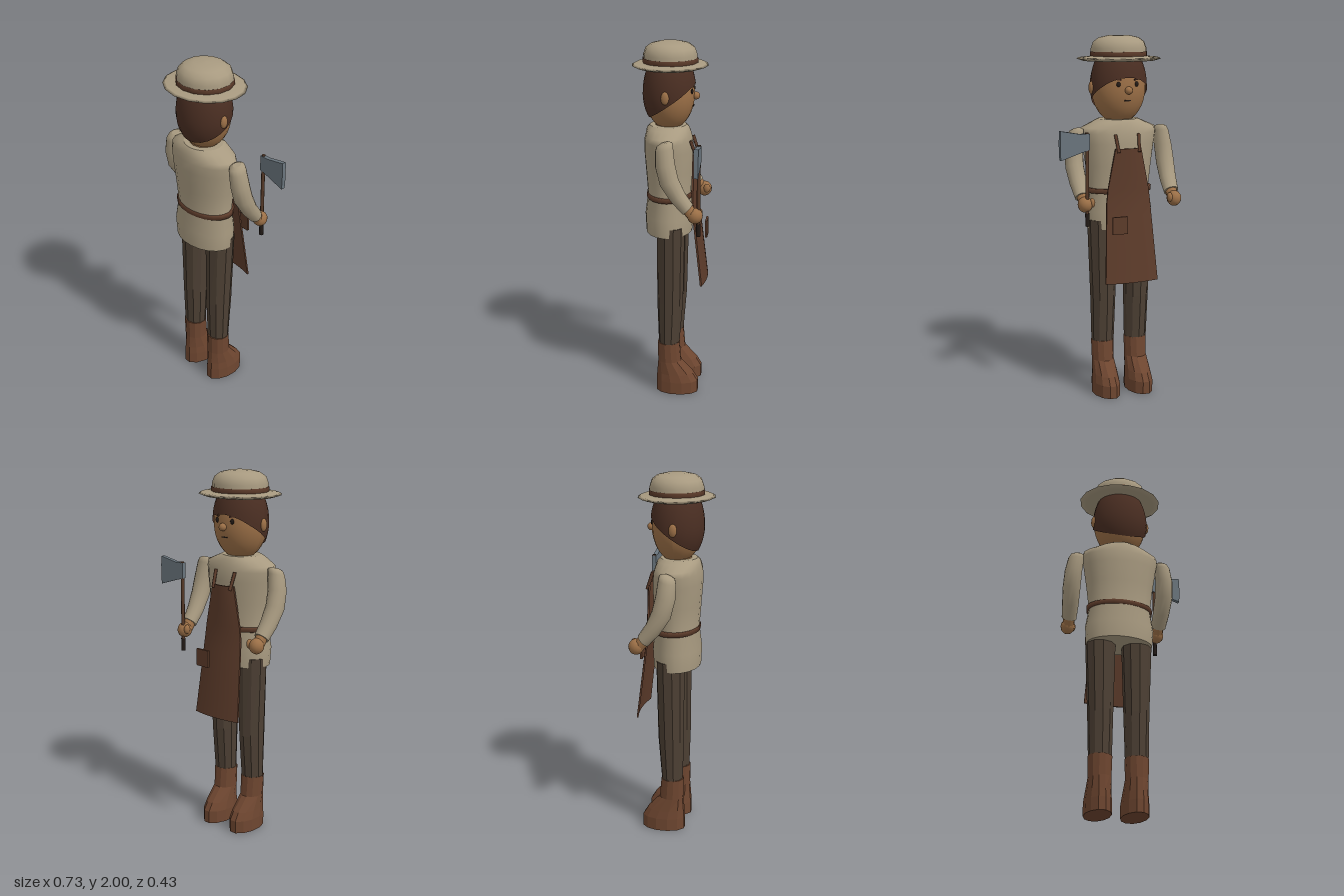
import * as THREE from 'three';

const material = (color, extra = {}) => new THREE.MeshStandardMaterial({ color, ...extra });
const mats = {
  cloth: material(0xa89a80),
  trousers: material(0x4d4034, { flatShading: true }),
  boot: material(0x6e4630, { flatShading: true }),
  leather: material(0x5c3b2a),
  hair: material(0x4a2e22, { side: THREE.DoubleSide }),
  skin: material(0x9c7047),
  dark: material(0x221a16),
  wood: material(0x573a28),
  steel: material(0x6a757d),
};

function add(parent, name, geometry, mat, x = 0, y = 0, z = 0) {
  const mesh = new THREE.Mesh(geometry, mat);
  mesh.name = name;
  mesh.position.set(x, y, z);
  parent.add(mesh);
  return mesh;
}

// Capped skin over elliptical rings, bottom to top: [x, y, z, rx, rz, tilt about x]
function loft(rings, sides) {
  const pos = [], index = [];
  const ringPoints = ([x, y, z, rx, rz, tilt = 0]) => {
    for (let i = 0; i < sides; i++) {
      const a = ((i + 0.5) / sides) * Math.PI * 2;
      const s = Math.sin(a) * rz;
      pos.push(x + Math.cos(a) * rx, y + s * Math.sin(tilt), z + s * Math.cos(tilt));
    }
  };
  rings.forEach(ringPoints);
  for (let r = 0; r < rings.length - 1; r++) {
    for (let i = 0; i < sides; i++) {
      const a = r * sides + i, b = r * sides + ((i + 1) % sides);
      index.push(a, a + sides, b, b, a + sides, b + sides);
    }
  }
  for (const [ring, top] of [[rings[0], false], [rings[rings.length - 1], true]]) {
    const start = pos.length / 3;
    ringPoints(ring);
    pos.push(ring[0], ring[1], ring[2]);
    for (let i = 0; i < sides; i++) {
      const a = start + i, b = start + ((i + 1) % sides), c = start + sides;
      index.push(...(top ? [a, c, b] : [a, b, c]));
    }
  }
  const g = new THREE.BufferGeometry();
  g.setAttribute('position', new THREE.Float32BufferAttribute(pos, 3));
  g.setIndex(index);
  g.computeVertexNormals();
  return g;
}

const lathe = (points, sides, depth) =>
  new THREE.LatheGeometry(points.map(([r, y]) => new THREE.Vector2(r, y)), sides).scale(1, 1, depth);

const ball = (rx, ry, rz) => new THREE.SphereGeometry(1, 14, 10).scale(rx, ry, rz);

// Rod between two points
function rod(parent, name, from, to, radius, mat) {
  const a = new THREE.Vector3(...from), b = new THREE.Vector3(...to);
  const mesh = add(parent, name, new THREE.CylinderGeometry(radius, radius, a.distanceTo(b), 8), mat);
  mesh.position.copy(a).add(b).multiplyScalar(0.5);
  mesh.quaternion.setFromUnitVectors(new THREE.Vector3(0, 1, 0), b.sub(a).normalize());
}

// Egg shape: the upper half is taller than the lower half
function egg(geometry, rx, up, down, rz) {
  const p = geometry.attributes.position;
  for (let i = 0; i < p.count; i++) {
    const y = p.getY(i);
    p.setXYZ(i, p.getX(i) * rx, y * (y > 0 ? up : down), p.getZ(i) * rz);
  }
  geometry.computeVertexNormals();
  return geometry;
}

function buildHead() {
  const head = new THREE.Group();
  head.name = 'head';
  add(head, 'skull', egg(new THREE.SphereGeometry(1, 24, 18), 0.15, 0.24, 0.198, 0.137), mats.skin, 0, 1.72, 0.01);
  const cap = new THREE.SphereGeometry(1, 24, 16, 0, Math.PI * 2, 0, 1.8).rotateX(0.46);
  add(head, 'hair', egg(cap, 0.158, 0.25, 0.204, 0.145), mats.hair, 0, 1.72, 0.01);
  add(head, 'neck', new THREE.CylinderGeometry(0.07, 0.08, 0.12, 12), mats.skin, 0, 1.54, 0.015);
  add(head, 'nose', ball(0.021, 0.021, 0.021), mats.skin, 0, 1.71, -0.134);
  for (const s of [-1, 1]) {
    add(head, 'ear', ball(0.015, 0.035, 0.022), mats.skin, s * 0.156, 1.72, 0.015);
    add(head, 'eye', ball(0.012, 0.014, 0.007), mats.dark, s * 0.052, 1.742, -0.117);
    const brow = add(head, 'eyebrow', new THREE.BoxGeometry(0.038, 0.008, 0.01), mats.hair, s * 0.054, 1.768, -0.115);
    brow.rotation.set(0, s * -0.35, s * 0.15);
  }
  add(head, 'mouth', new THREE.BoxGeometry(0.036, 0.006, 0.008), mats.dark, 0, 1.655, -0.118);

  // Hat
  add(head, 'hatBrim', lathe([[0.1, 1.863], [0.2, 1.863], [0.235, 1.874], [0.22, 1.882], [0.14, 1.89]], 16, 0.88), mats.cloth, 0, 0, 0.006);
  add(head, 'hatCrown', lathe([[0.153, 1.88], [0.154, 1.93], [0.141, 1.965], [0.11, 1.987], [0.06, 1.998], [0, 2]], 14, 0.95), mats.cloth, 0, 0, 0.006);
  add(head, 'hatBand', lathe([[0.15, 1.888], [0.158, 1.888], [0.158, 1.912], [0.15, 1.912]], 14, 0.95), mats.leather, 0, 0, 0.006);
  return head;
}

function buildArm(s) {
  const arm = new THREE.Group();
  arm.name = s > 0 ? 'leftArm' : 'rightArm';
  add(arm, 'sleeve', loft([
    [s * 0.262, 1.15, -0.122, 0.042, 0.038, -0.8],
    [s * 0.266, 1.215, -0.07, 0.047, 0.045, -0.65],
    [s * 0.27, 1.3, -0.022, 0.05, 0.053, -0.4],
    [s * 0.266, 1.39, 0, 0.049, 0.053, -0.2],
    [s * 0.253, 1.47, 0.006, 0.045, 0.049, -0.25],
    [s * 0.247, 1.495, 0.005, 0.038, 0.043, -0.25],
    [s * 0.245, 1.505, 0.003, 0.02, 0.024, -0.25],
  ], 14), mats.cloth);
  rod(arm, 'wrist', [s * 0.261, 1.105, -0.158], [s * 0.262, 1.17, -0.105], 0.033, mats.skin);
  add(arm, 'hand', ball(0.04, 0.043, 0.042), mats.skin, s * 0.262, 1.115, -0.16);
  add(arm, 'thumb', ball(0.015, 0.026, 0.02), mats.skin, s * 0.228, 1.125, -0.177);
  return arm;
}

function buildLeg(s) {
  const leg = new THREE.Group();
  leg.name = s > 0 ? 'leftLeg' : 'rightLeg';
  const x = s * 0.1;
  add(leg, 'trouserLeg', loft([
    [x, 0.28, 0, 0.063, 0.058],
    [x, 0.55, -0.006, 0.07, 0.073],
    [s * 0.103, 1.0, -0.01, 0.086, 0.078],
  ], 10), mats.trousers);
  add(leg, 'boot', loft([
    [x, 0, -0.048, 0.073, 0.122],
    [x, 0.07, -0.048, 0.073, 0.122],
    [x, 0.115, -0.036, 0.068, 0.106],
    [x, 0.19, -0.004, 0.062, 0.067],
    [x, 0.305, 0.002, 0.065, 0.063],
  ], 12), mats.boot);
  return leg;
}

function buildApron() {
  const apron = new THREE.Group();
  apron.name = 'apron';
  // Bib and skirt: widens downward, curves around the body, flares forward below the waist
  const panel = new THREE.BoxGeometry(2, 1, 0.01, 8, 10, 1);
  const p = panel.attributes.position;
  for (let i = 0; i < p.count; i++) {
    const u = p.getX(i), y = 0.67 + (p.getY(i) + 0.5) * 0.73;
    const half = y > 1.15 ? 0.075 + (1.4 - y) * 0.2 : 0.125 + (1.15 - y) * 0.06;
    const z = -0.147 - Math.max(0, 1.13 - y) * 0.12;
    p.setXYZ(i, u * half, y, p.getZ(i) + z + 0.018 * u * u);
  }
  panel.computeVertexNormals();
  add(apron, 'apronPanel', panel, mats.leather);
  for (const s of [-1, 1]) rod(apron, 'apronStrap', [s * 0.06, 1.38, -0.145], [s * 0.068, 1.475, -0.113], 0.009, mats.leather);
  add(apron, 'apronPocket', new THREE.BoxGeometry(0.085, 0.095, 0.012), mats.leather, 0.08, 0.995, -0.207);
  return apron;
}

function buildAxe() {
  const axe = new THREE.Group();
  axe.name = 'axe';
  rod(axe, 'axeHandle', [0.21, 1.06, -0.178], [0.21, 1.5, -0.178], 0.01, mats.wood);
  rod(axe, 'axeGripEnd', [0.21, 1.0, -0.178], [0.21, 1.07, -0.178], 0.012, mats.dark);
  const shape = new THREE.Shape();
  shape.moveTo(0.198, 1.41);
  shape.lineTo(0.25, 1.395);
  shape.lineTo(0.36, 1.36);
  shape.quadraticCurveTo(0.366, 1.44, 0.36, 1.515);
  shape.lineTo(0.25, 1.495);
  shape.lineTo(0.198, 1.495);
  add(axe, 'axeBlade', new THREE.ExtrudeGeometry(shape, { depth: 0.024, bevelEnabled: false, curveSegments: 6 }), mats.steel, 0, 0, -0.19);
  return axe;
}

export function createModel() {
  const model = new THREE.Group();
  model.name = 'woodcutter';
  const figure = new THREE.Group();
  figure.name = 'figure';
  figure.position.x = -0.047;
  model.add(figure, buildAxe());

  // Shirt and belt
  add(figure, 'shirt', loft([
    [0, 0.95, 0.01, 0.185, 0.128],
    [0, 1.05, 0.01, 0.193, 0.133],
    [0, 1.17, 0.008, 0.174, 0.12],
    [0, 1.3, 0.01, 0.19, 0.128],
    [0, 1.42, 0.013, 0.208, 0.134],
    [0, 1.475, 0.015, 0.218, 0.13],
    [0, 1.505, 0.016, 0.215, 0.122],
    [0, 1.535, 0.018, 0.145, 0.115],
    [0, 1.55, 0.018, 0.112, 0.1],
  ], 20), mats.cloth);
  add(figure, 'belt', lathe([[0.165, 1.15], [0.188, 1.15], [0.188, 1.176], [0.165, 1.176]], 20, 0.68), mats.leather, 0, 0, 0.006);

  figure.add(buildHead(), buildApron());
  for (const s of [-1, 1]) figure.add(buildArm(s), buildLeg(s));
  return model;
}
